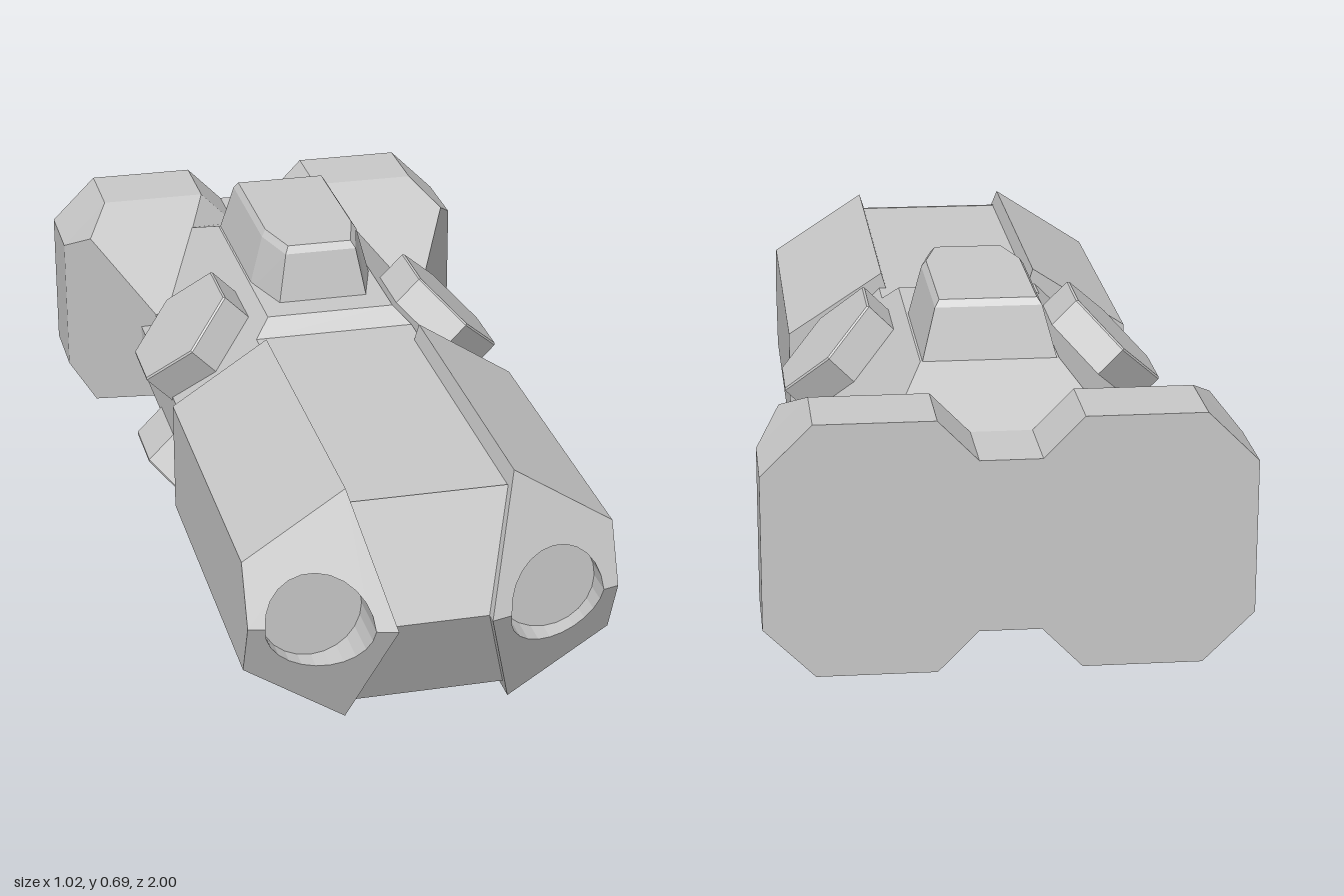
import * as THREE from 'three';

const hullGrey = new THREE.MeshStandardMaterial({ color: 0xc8c8c8 });
hullGrey.name = 'hullGrey';
const MID = 0.3; // height of the hull's centre line

function part(name, geometry) {
  const g = geometry.index ? geometry.toNonIndexed() : geometry;
  g.computeVertexNormals();
  const mesh = new THREE.Mesh(g, hullGrey);
  mesh.name = name;
  return mesh;
}

// Skin convex rings (counter-clockwise seen from +z), listed from back to front
function loft(sections) {
  const pos = [];
  const n = sections[0].ring.length;
  const at = (s, j) => [...sections[s].ring[j % n], sections[s].z];
  const tri = (a, b, c) => pos.push(...a, ...b, ...c);
  const last = sections.length - 1;
  for (let s = 0; s < last; s++) {
    for (let j = 0; j < n; j++) {
      tri(at(s, j), at(s, j + 1), at(s + 1, j + 1));
      tri(at(s, j), at(s + 1, j + 1), at(s + 1, j));
    }
  }
  for (let j = 1; j < n - 1; j++) {
    tri(at(0, 0), at(0, j + 1), at(0, j));
    tri(at(last, 0), at(last, j), at(last, j + 1));
  }
  const g = new THREE.BufferGeometry();
  g.setAttribute('position', new THREE.Float32BufferAttribute(pos, 3));
  return g;
}

function prism(points, z0, z1) {
  const shape = new THREE.Shape(points.map(([x, y]) => new THREE.Vector2(x, y)));
  return new THREE.ExtrudeGeometry(shape, { depth: z1 - z0, bevelEnabled: false }).translate(0, 0, z0);
}

// Central fuselage: 45 degree flanks, with top and bottom heights varying along z
function body() {
  const stations = [
    [-0.82, 0.485, 0.115], [-0.6, 0.571, 0.034], [-0.3, 0.571, 0.034], [-0.025, 0.571, 0.054],
    [0.015, 0.535, 0.057], [0.1, 0.535, 0.063], [0.855, 0.535, 0.063],
  ];
  return part('fuselage', loft(stations.map(([z, t, b]) => {
    const xt = 0.72 - t, xb = 0.125 + b;
    return {
      z,
      ring: [[xt, t], [-xt, t], [-0.365, 0.355], [-0.365, 0.24],
        [-xb, b], [xb, b], [0.365, 0.24], [0.365, 0.355]],
    };
  })));
}

// Recessed wedge between the two forward pods
function noseWedge() {
  return part('noseWedge', loft([
    { z: 0.855, ring: [[0.175, 0.537], [-0.175, 0.537], [-0.1, MID], [-0.175, 0.063], [0.175, 0.063], [0.1, MID]] },
    { z: 0.975, ring: [[0.1, MID], [-0.1, MID], [-0.1, MID], [-0.1, MID], [0.1, MID], [0.1, MID]] },
  ]));
}

// Half of a pod's sloped nose with half of the round port cut out
function podNose(sx, sy) {
  const pts = [[0.1, 0]];
  for (let i = 0; i <= 12; i++) {
    const a = Math.PI * (1 - i / 12);
    pts.push([0.255 + 0.11 * Math.cos(a), Math.max(0, 0.11 * Math.sin(a))]);
  }
  pts.push([0.4, 0], [0.4, 0.128], [0.18, 0.272]);
  const g = prism(pts.map(([x, v]) => [sx * x, MID + sy * v]), 0.86, 1);
  const p = g.attributes.position;
  for (let i = 0; i < p.count; i++) {
    if (p.getZ(i) < 0.9) continue;
    const slope = 1.0279 - 0.2791 * Math.abs(p.getX(i)) - 0.4325 * Math.abs(p.getY(i) - MID);
    p.setZ(i, Math.max(0.86, slope));
  }
  return part('podNose', g);
}

// Forward pod; the front of its hull is the floor of the port
function pod(sx) {
  const group = new THREE.Group();
  group.name = sx > 0 ? 'leftPod' : 'rightPod';
  const pts = [[0.1, MID], [0.18, 0.028], [0.4, 0.172], [0.4, 0.428], [0.18, 0.572]];
  group.add(part('podHull', prism(pts.map(([x, y]) => [sx * x, y]), 0.1, 0.86)));
  group.add(podNose(sx, 1), podNose(sx, -1));
  return group;
}

// Tail block: two octagons joined by a notched waist
function tailBlock() {
  const right = [[0.065, 0.115], [0.15, 0.028], [0.4, 0.028], [0.508, 0.135],
    [0.508, 0.465], [0.4, 0.572], [0.15, 0.572], [0.065, 0.485]];
  const left = right.map(([x, y]) => [-x, y]).reverse();
  return part('tailBlock', prism([...right, ...left], -1, -0.82));
}

// Tapered shoulder running from the tail block into the fuselage
function tailShoulder(sx) {
  // each profile lists [x, height above centre] from the notch to the outer side
  const section = (z, profile) => {
    const ring = [
      ...profile.map(([x, v]) => [sx * x, MID - v]),
      ...profile.slice().reverse().map(([x, v]) => [sx * x, MID + v]),
    ];
    return { z, ring: sx > 0 ? ring : ring.reverse() };
  };
  return part('tailShoulder', loft([
    section(-0.82, [[0.065, 0.185], [0.15, 0.272], [0.4, 0.272], [0.508, 0.165]]),
    section(-0.71, [[0.196, 0.222], [0.196, 0.222], [0.456, 0.222], [0.456, 0.222]]),
    section(-0.46, [[0.3, 0.11], [0.3, 0.11], [0.338, 0.11], [0.338, 0.11]]),
  ]));
}

// Faceted cabin on top, lofted upward
function cabin() {
  const level = (z, w, back, mid, wf, front) => ({
    z,
    ring: [[w, -mid], [w, -back], [-w, -back], [-w, -mid], [-wf, -front], [wf, -front]],
  });
  const g = loft([
    level(0.55, 0.15, -0.605, -0.235, 0.108, -0.095),
    level(0.682, 0.115, -0.573, -0.242, 0.084, -0.122),
    level(0.697, 0.105, -0.563, -0.25, 0.075, -0.137),
  ]);
  return part('cabin', g.rotateX(-Math.PI / 2));
}

// Hexagonal pad standing off a sloped flank
function hexPad(sx, sy) {
  const profile = [[0, -0.1], [0.156, -0.1], [0.156, -0.004], [0.152, 0], [0, 0]]
    .map(([r, y]) => new THREE.Vector2(r, y));
  const mesh = part('hexPad', new THREE.LatheGeometry(profile, 6));
  mesh.position.set(sx * 0.332, MID + sy * 0.203, -0.18);
  mesh.rotation.z = -sx * (sy > 0 ? Math.PI / 4 : 3 * Math.PI / 4);
  return mesh;
}

// Thin plate under the belly
function bellyPlate() {
  const g = new THREE.BoxGeometry(0.325, 0.035, 0.32).translate(0, 0.0335, -0.44);
  const p = g.attributes.position;
  for (let i = 0; i < p.count; i++) {
    if (p.getY(i) < 0.03) p.setX(i, p.getX(i) * 0.97);
  }
  return part('bellyPlate', g);
}

export function createModel() {
  const model = new THREE.Group();
  model.name = 'spacecraft';
  model.add(body(), noseWedge(), tailBlock(), cabin(), bellyPlate());
  for (const sx of [1, -1]) {
    model.add(pod(sx), tailShoulder(sx), hexPad(sx, 1), hexPad(sx, -1));
  }
  return model;
}
